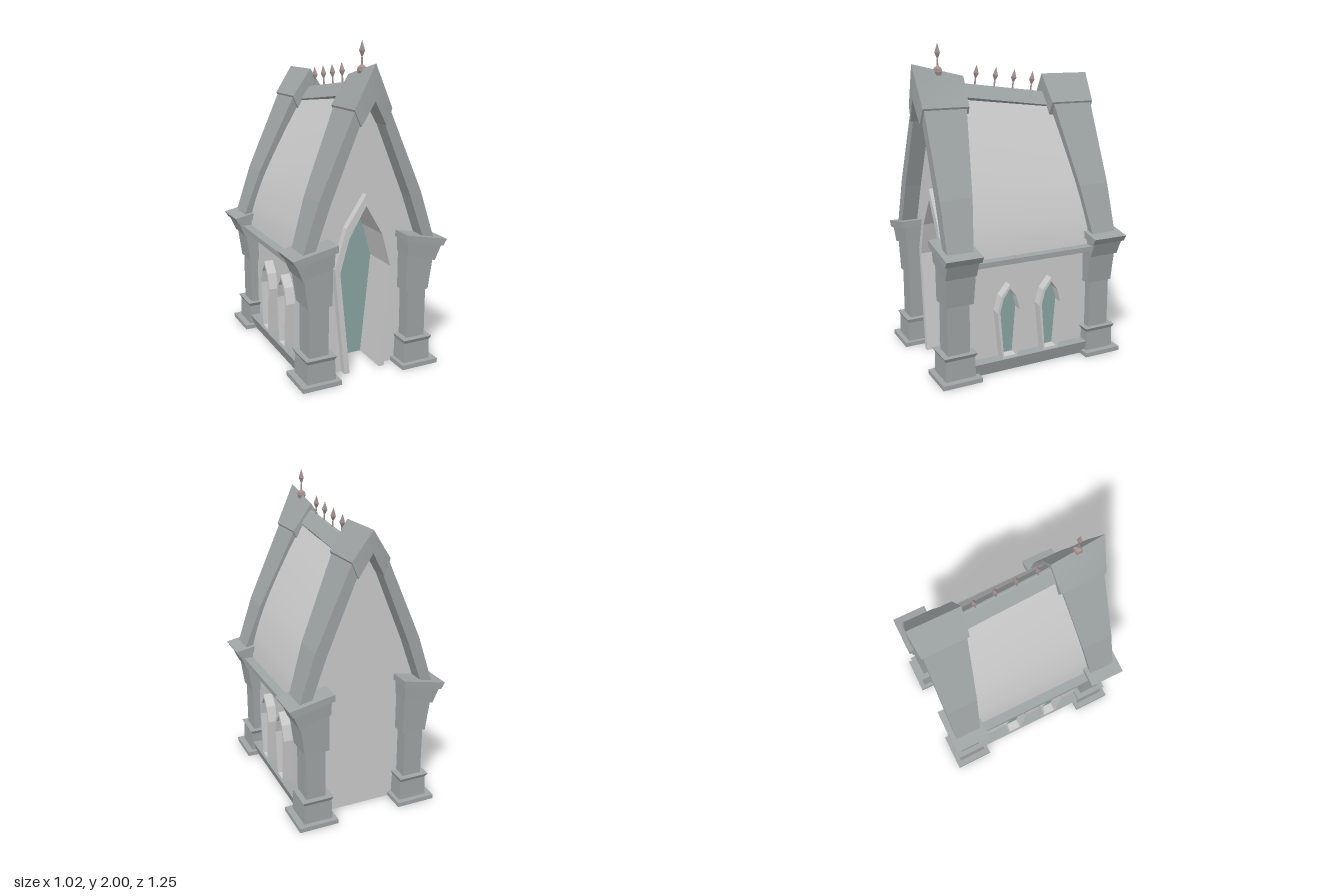
import * as THREE from 'three';
import { toCreasedNormals } from 'three/addons/utils/BufferGeometryUtils.js';

const wallStone = new THREE.MeshStandardMaterial({ color: 0xcccccc });
const roofSheet = new THREE.MeshStandardMaterial({ color: 0xcccccc, side: THREE.DoubleSide });
const trim = new THREE.MeshStandardMaterial({ color: 0x9fa4a4 });
const glass = new THREE.MeshStandardMaterial({ color: 0x8aa5a3, side: THREE.DoubleSide });
const iron = new THREE.MeshStandardMaterial({ color: 0xa89494, flatShading: true });

function add(parent, name, geo, mat) {
  const m = new THREE.Mesh(geo, mat);
  m.name = name;
  parent.add(m);
  return m;
}

function group(parent, name) {
  const g = new THREE.Group();
  g.name = name;
  parent.add(g);
  return g;
}

// Move every vertex by a rule
function warp(geo, rule) {
  const p = geo.attributes.position;
  const v = new THREE.Vector3();
  for (let i = 0; i < p.count; i++) {
    rule(v.fromBufferAttribute(p, i));
    p.setXYZ(i, v.x, v.y, v.z);
  }
  geo.computeVertexNormals();
  return geo;
}

// Closed symmetric outline from its right half
function mirrored(half) {
  return [...half, ...half.filter(([x]) => x > 0).map(([x, y]) => [-x, y]).reverse()];
}
const toVecs = (pts) => pts.map(([x, y]) => new THREE.Vector2(x, y));
const shapeOf = (pts) => new THREE.Shape(toVecs(pts));

function extrude(shape, depth, z0) {
  return new THREE.ExtrudeGeometry(shape, { depth, bevelEnabled: false }).translate(0, 0, z0);
}

// Column block between two sections [xIn, yIn, xOut, yOut, zMin, zMax]
function block(a, b, sx, sz) {
  return warp(new THREE.BoxGeometry(1, 1, 1), (v) => {
    const [xi, yi, xo, yo, z0, z1] = v.y < 0 ? a : b;
    const out = v.x * sx > 0;
    v.set(sx * (out ? xo : xi), out ? yo : yi, sz * (v.z * sz > 0 ? z1 : z0));
  });
}

const columnParts = [
  ['columnPlate', [0.21, 0, 0.462, 0, 0.37, 0.625], [0.21, 0.028, 0.462, 0.028, 0.37, 0.625]],
  ['columnBase', [0.235, 0.028, 0.422, 0.028, 0.397, 0.593], [0.24, 0.155, 0.417, 0.155, 0.4, 0.59]],
  ['columnMoulding', [0.24, 0.155, 0.417, 0.155, 0.4, 0.59], [0.232, 0.18, 0.43, 0.18, 0.386, 0.603]],
  ['columnShaft', [0.27, 0.18, 0.395, 0.18, 0.423, 0.566], [0.27, 0.49, 0.395, 0.49, 0.423, 0.566]],
  ['columnNeck', [0.25, 0.49, 0.406, 0.49, 0.4, 0.577], [0.25, 0.735, 0.432, 0.68, 0.397, 0.58]],
  ['columnCapital', [0.245, 0.73, 0.442, 0.675, 0.395, 0.592], [0.242, 0.825, 0.482, 0.77, 0.395, 0.597]],
  ['columnSlab', [0.228, 0.823, 0.488, 0.768, 0.38, 0.612], [0.228, 0.865, 0.512, 0.807, 0.38, 0.612]],
];

// Pointed opening: a frame standing proud of the wall and a pane set back in it
function opening(parent, name, outer, inner, depth, paneDepth, sill) {
  const g = group(parent, name);
  let ring;
  if (sill) {
    ring = shapeOf(mirrored(outer));
    ring.holes.push(new THREE.Path(toVecs(mirrored(inner))));
  } else {
    ring = shapeOf([...mirrored(outer), ...mirrored(inner).reverse()]);
  }
  add(g, name + 'Frame', extrude(ring, depth, -depth), wallStone);
  const pane = new THREE.ShapeGeometry(shapeOf(mirrored(inner)));
  add(g, name + 'Glass', pane.translate(0, 0, -paneDepth), glass);
  return g;
}

// Four-sided turned piece with its flats facing the axes
const squareLathe = (pts) => new THREE.LatheGeometry(toVecs(pts), 4).rotateY(Math.PI / 4);

// Spear head on a thin rod
function spear(parent, name, rod, leaf) {
  const g = group(parent, name);
  add(g, name + 'Rod', squareLathe([[0.006, 0], [0.005, rod]]), iron);
  add(g, name + 'Leaf', squareLathe([[0, 0], [0.018, leaf * 0.42], [0, leaf]]), iron).position.y = rod - 0.005;
  return g;
}

export function createModel() {
  const model = new THREE.Group();
  model.name = 'chapel';

  // Four corner columns
  for (const sx of [1, -1]) for (const sz of [1, -1]) {
    const g = group(model, 'cornerColumn');
    for (const [name, a, b] of columnParts) add(g, name, block(a, b, sx, sz), trim);
  }

  // Gable walls, the front one notched for the door
  const gable = mirrored([[0.345, 0], [0.345, 0.74], [0.378, 0.76], [0.295, 1.08], [0.1, 1.55], [0, 1.7]]);
  const notch = mirrored([[0.125, 0], [0.195, 0.685], [0.125, 0.92], [0, 1.11]]);
  add(model, 'frontWall', extrude(shapeOf([...gable, ...notch.reverse()]), 0.03, 0.44), wallStone);
  add(model, 'backWall', extrude(shapeOf(gable), 0.03, -0.475), wallStone);

  // Door set deep in its frame
  const doorOuter = [[0.138, 0], [0.205, 0.685], [0.13, 0.925], [0, 1.12]];
  const doorInner = [[0.103, 0], [0.17, 0.655], [0.11, 0.865], [0, 1.05]];
  opening(model, 'door', doorOuter, doorInner, 0.26, 0.25, false).position.z = 0.515;

  // Side walls with two lancet windows, undercut plinth and eave
  const winOuter = [[0.052, 0.09], [0.085, 0.4], [0.058, 0.5], [0, 0.57]];
  const winInner = [[0.042, 0.105], [0.066, 0.4], [0.044, 0.485], [0, 0.545]];
  for (const s of [1, -1]) {
    const side = group(model, s > 0 ? 'leftSide' : 'rightSide');
    const wall = shapeOf([[-0.46, 0.02], [0.46, 0.02], [0.46, 0.74], [-0.46, 0.74]]);
    for (const z of [0.157, -0.132]) {
      const u = -s * z;
      const cut = mirrored(winOuter).map(([x, y]) => [x * 0.95 + u, 0.3 + (y - 0.3) * 0.98]);
      wall.holes.push(new THREE.Path(toVecs(cut)));
      opening(side, 'window', winOuter, winInner, 0.1, 0.06, true).position.set(u, 0, 0.405);
    }
    add(side, 'sideWall', extrude(wall, 0.03, 0.315), wallStone);
    const plinth = warp(new THREE.BoxGeometry(0.84, 0.085, 0.1).translate(0, 0.0475, 0.365), (v) => {
      if (v.z > 0.4 && v.y < 0.04) v.z -= 0.025;
    });
    add(side, 'plinth', plinth, trim);
    add(side, 'eave', new THREE.BoxGeometry(0.8, 0.032, 0.14).translate(0, 0.734, 0.385), trim);
    side.rotation.y = s * Math.PI / 2;
  }

  // Curved roof slopes, falling slightly towards the back
  const curve = new THREE.SplineCurve(toVecs(
    [[0.396, 0.745], [0.37, 0.9], [0.3, 1.13], [0.185, 1.4], [0.06, 1.66]]));
  for (const s of [1, -1]) {
    const g = warp(new THREE.PlaneGeometry(1, 1, 15, 1), (v) => {
      const p = curve.getPoint(v.x + 0.5);
      const z = v.y * 0.9;
      v.set(s * p.x, p.y - (p.y - 0.745) * 0.125 * (0.28 - z), z);
    });
    add(model, 'roofSlope', g, roofSheet);
  }

  // Ridge beam along the sloping crest
  const crest = (z) => 1.757 - (0.28 - z) * 0.125;
  const ridge = mirrored([[0.045, 1.655], [0.066, 1.675], [0.01, 1.755], [0, 1.757]]);
  add(model, 'ridge', warp(extrude(shapeOf(ridge), 0.72, -0.36), (v) => { v.y += crest(v.z) - 1.757; }), trim);

  // Arched ribs over both gables, deeper towards the top, each under a cap
  const rib = shapeOf([
    ...mirrored([[0.435, 0.82], [0.335, 1.12], [0.112, 1.62], [0, 1.79]]),
    ...mirrored([[0.362, 0.82], [0.265, 1.09], [0.078, 1.54], [0, 1.68]]).reverse(),
  ]);
  const cap = shapeOf([[0, 1.67], [0.08, 1.53], [0.12, 1.625], [0, 1.8], [-0.12, 1.625], [-0.08, 1.53]]);
  for (const s of [1, -1]) {
    const end = s > 0 ? 'front' : 'back';
    add(model, end + 'Rib', warp(extrude(rib, 1, -0.5), (v) => {
      v.z = s * (v.z * s > 0 ? 0.575 : 0.41 - (v.y - 0.82) * 0.135);
    }), trim);
    const capGeo = warp(extrude(cap, 1, -0.5), (v) => {
      const t = 1 - Math.abs(v.x) / 0.12;
      const far = v.z * s > 0;
      // The front cap rises towards its face
      if (v.y > 1.75 && s > 0 && far) v.y = 1.878;
      v.z = s * (far ? 0.585 + 0.02 * t : 0.288 - 0.015 * t);
    });
    add(model, end + 'Cap', toCreasedNormals(capGeo, 0.5), trim);
  }

  // Row of small spears square to the ridge, and the large front finial
  for (const z of [0.198, 0.066, -0.063, -0.193]) {
    const f = spear(model, 'ridgeSpear', 0.04, 0.09);
    f.position.set(0, crest(z) - 0.005, z);
    f.rotation.x = -0.125;
  }
  const finial = spear(model, 'frontFinial', 0.085, 0.1);
  finial.position.set(0, 1.82, 0.44);
  const knob = squareLathe([[0.018, -0.02], [0.03, 0.01], [0.026, 0.03], [0, 0.05]]);
  add(finial, 'finialKnob', knob, iron);

  return model;
}
